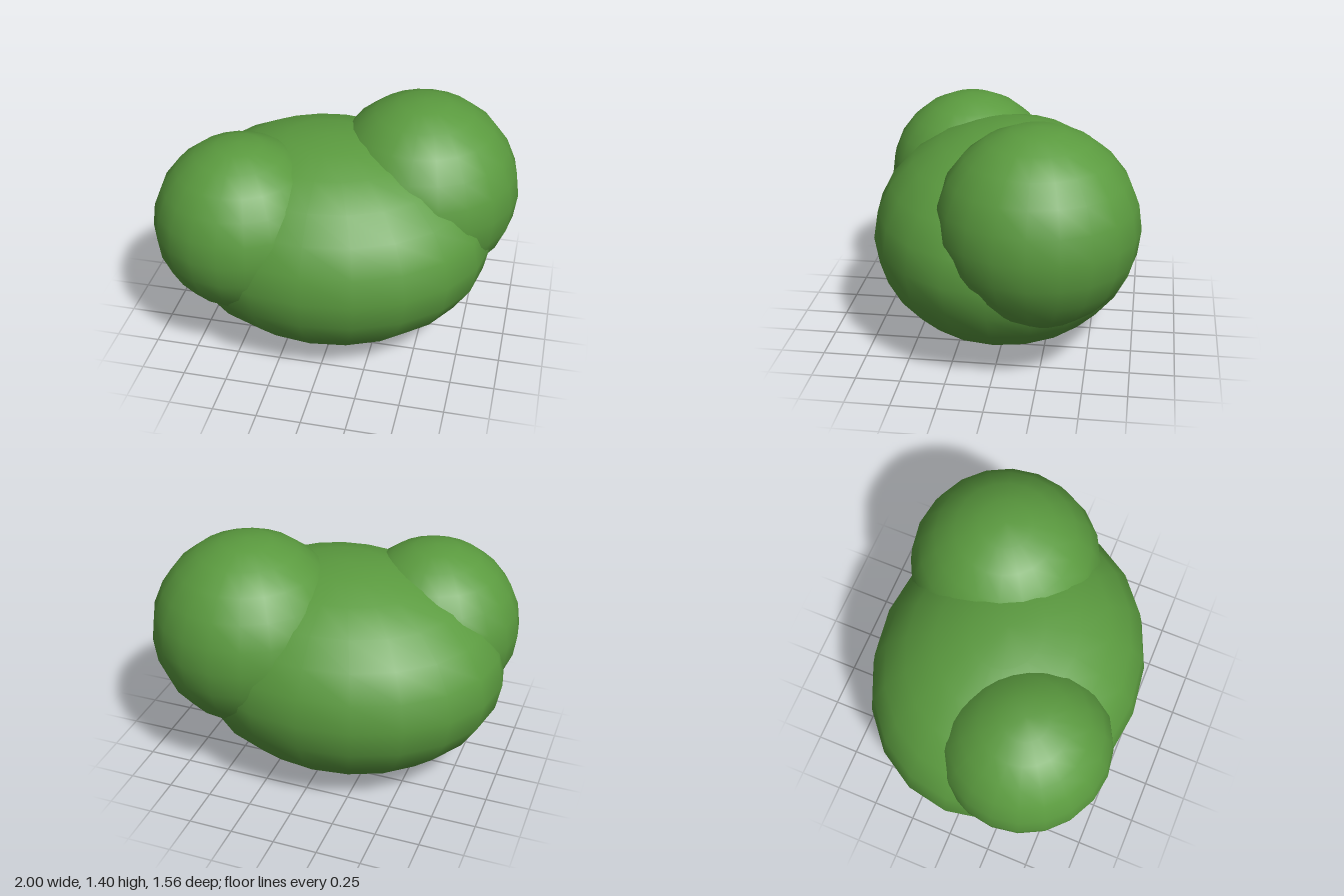
import * as THREE from 'three';

export function createModel() {
  const group = new THREE.Group();
  group.name = 'bush';
  const leafGreen = new THREE.MeshStandardMaterial({ color: 0x5b9b3f });
  leafGreen.name = 'leaf green';

  // One smooth, coarse-sided ball shared by all the foliage clumps
  const ball = new THREE.SphereGeometry(1, 20, 12);

  function addClump(name, center, radii) {
    const mesh = new THREE.Mesh(ball, leafGreen);
    mesh.name = name;
    mesh.position.set(...center);
    mesh.scale.set(...radii);
    group.add(mesh);
  }

  // Wide main body with a large clump at the back left and a small one at the front right
  addClump('mainFoliage', [-0.055, 0.622, 0], [0.935, 0.622, 0.778]);
  addClump('largeFoliageClump', [0.44, 0.845, -0.22], [0.56, 0.556, 0.56]);
  addClump('smallFoliageClump', [-0.5, 0.79, 0.28], [0.5, 0.5, 0.497]);

  return group;
}
